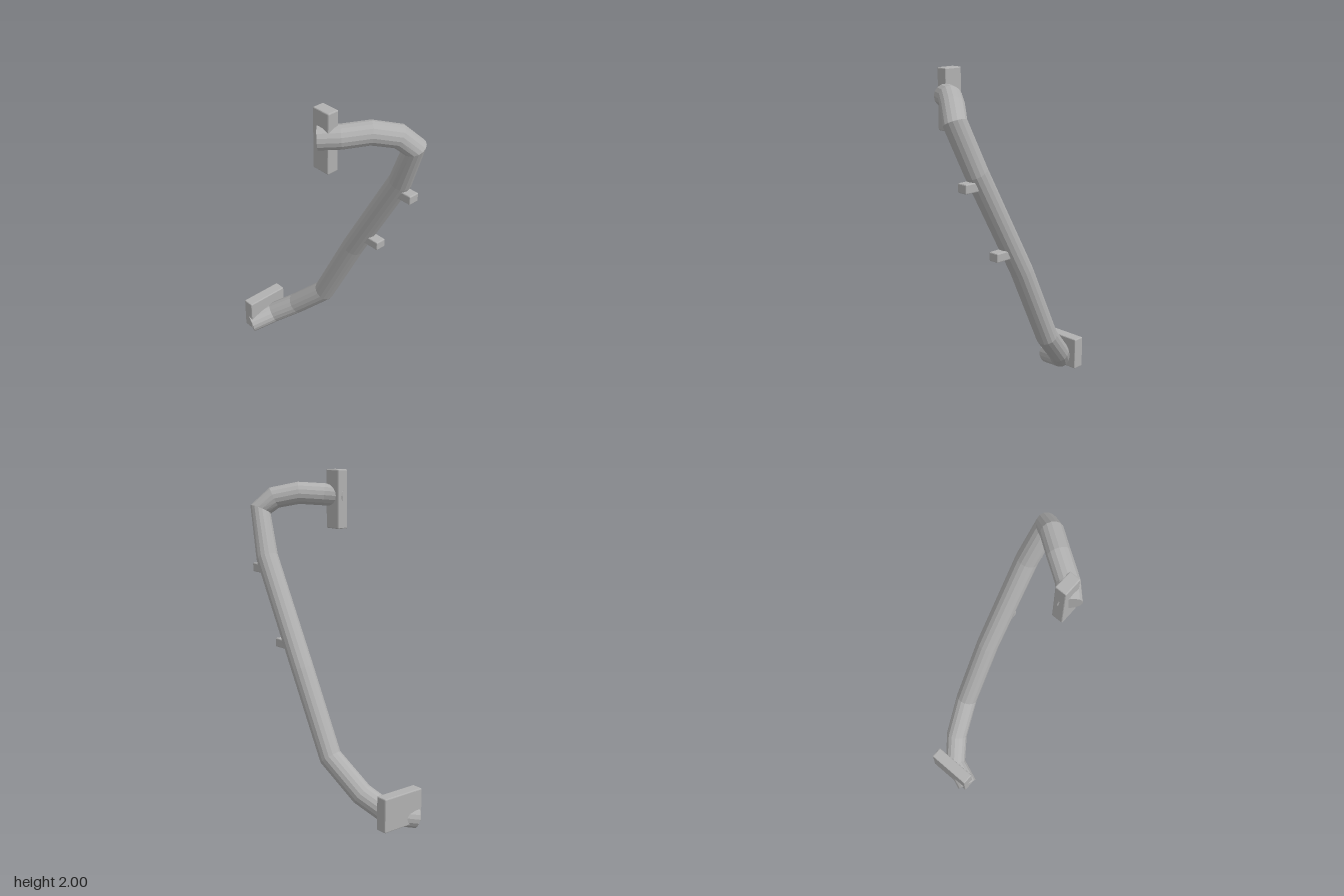
import * as THREE from 'three';
import { RoundedBoxGeometry } from 'three/addons/geometries/RoundedBoxGeometry.js';

// Polyline curve: straight runs, with tangents averaged at each bend
class BentPath extends THREE.Curve {
  constructor(points) {
    super();
    this.points = points;
  }
  getPoint(t, target = new THREE.Vector3()) {
    const last = this.points.length - 1;
    const i = Math.min(Math.floor(t * last + 1e-6), last - 1);
    return target.lerpVectors(this.points[i], this.points[i + 1], t * last - i);
  }
  getPointAt(t, target) {
    return this.getPoint(t, target);
  }
  getTangentAt(t, target = new THREE.Vector3()) {
    const p = this.points, last = p.length - 1;
    const i = Math.round(t * last);
    target.set(0, 0, 0);
    if (i > 0) target.add(p[i].clone().sub(p[i - 1]).normalize());
    if (i < last) target.add(p[i + 1].clone().sub(p[i]).normalize());
    return target.normalize();
  }
}

export function createModel() {
  const model = new THREE.Group();
  const grey = new THREE.MeshStandardMaterial({ color: 0xb0b0b0, flatShading: true });
  grey.name = 'grey metal';

  const add = (name, geometry) => {
    const mesh = new THREE.Mesh(geometry, grey);
    mesh.name = name;
    model.add(mesh);
    return mesh;
  };

  // Bent pipe, from the upper end down to the lower end
  const radius = 0.066, sides = 16;
  const points = [
    [-0.23, 1.842, 0.232], [-0.147, 1.85, 0.315], [-0.016, 1.86, 0.4],
    [0.1, 1.832, 0.487], [0.168, 1.762, 0.535], [0.203, 1.49, 0.422],
    [0.203, 0.87, 0.075], [0.187, 0.395, -0.163], [0.113, 0.21, -0.356],
    [0.016, 0.105, -0.485], [-0.135, 0.068, -0.541],
  ].map((p) => new THREE.Vector3(...p));
  const path = new BentPath(points);
  const last = points.length - 1;
  add('pipe', new THREE.TubeGeometry(path, last, radius, sides, false));

  // Flat caps closing both pipe ends
  const frames = path.computeFrenetFrames(last, false);
  for (const [name, i] of [['upperPipeCap', 0], ['lowerPipeCap', last]]) {
    const cap = new THREE.CircleGeometry(radius, sides);
    if (i === 0) cap.rotateY(Math.PI);
    cap.applyMatrix4(new THREE.Matrix4()
      .makeBasis(frames.normals[i], frames.binormals[i], frames.tangents[i])
      .setPosition(points[i]));
    add(name, cap);
  }

  // Mounting plates and pegs, each given by its two opposite corners
  const block = (name, min, max) => {
    const size = max.map((v, k) => v - min[k]);
    add(name, new RoundedBoxGeometry(...size, 1, 0.006))
      .position.set(...max.map((v, k) => (v + min[k]) / 2));
  };
  block('upperMountPlate', [-0.225, 1.65, 0.192], [-0.155, 2, 0.307]);
  block('lowerMountPlate', [-0.15, 0.047, -0.575], [0.127, 0.247, -0.503]);
  block('upperPeg', [0.172, 1.395, 0.42], [0.237, 1.448, 0.527]);
  block('lowerPeg', [0.172, 0.97, 0.18], [0.237, 1.023, 0.3]);

  return model;
}
